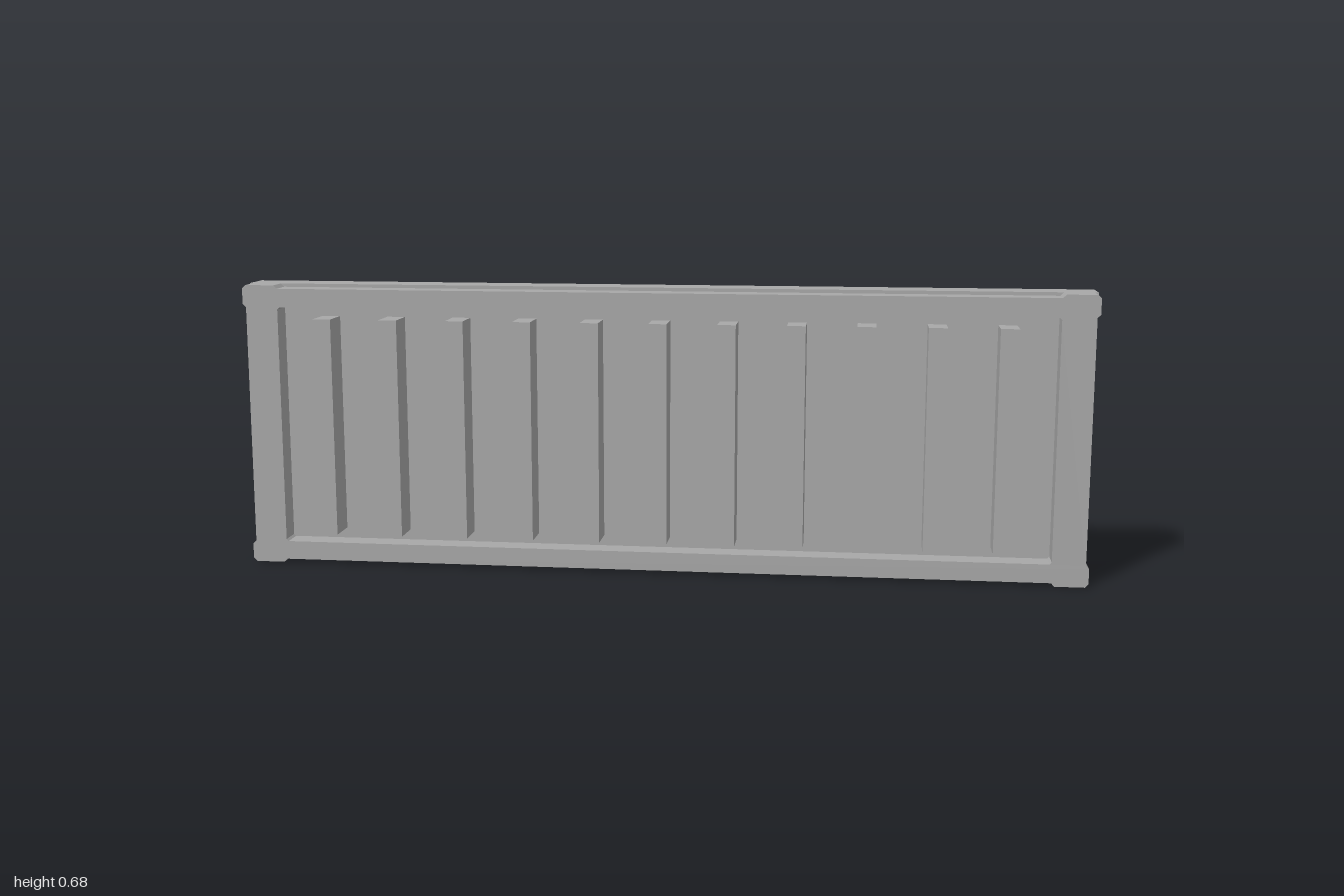
import * as THREE from 'three';

const W = 1, H = 0.677;          // half width, full height
const BACK = -0.077, MID = 0, RIM = 0.054, FRONT = 0.077;

export function createModel() {
  const group = new THREE.Group();
  group.name = 'slattedPanel';
  const grey = new THREE.MeshStandardMaterial({ color: 0xa8a8a8 });
  grey.name = 'grey';

  const add = (name, geometry, x, y, z) => {
    const mesh = new THREE.Mesh(geometry, grey);
    mesh.name = name;
    mesh.position.set(x, y, z);
    group.add(mesh);
  };

  // Solid back plate
  add('backPlate', new THREE.BoxGeometry(2 * W, H, MID - BACK), 0, H / 2, (MID + BACK) / 2);

  // Raised rim: chamfered corners and a shallow recess along each outer edge
  const hw = W, hh = H / 2, c = 0.008;
  const ix = 0.915, iy = 0.286;  // half size of the opening
  const quarter = [
    [hw - c, iy], [hw, iy + c], [hw, hh - c], [hw - c, hh], [ix + c, hh], [ix, hh - c],
  ];
  const flip = (sx, sy) => quarter.map(([x, y]) => new THREE.Vector2(x * sx, y * sy));
  const outline = [
    ...flip(1, 1), ...flip(-1, 1).reverse(), ...flip(-1, -1), ...flip(1, -1).reverse(),
  ];
  const rim = new THREE.Shape(outline);

  // Opening with lightly cut corners
  const k = 0.005;
  const corner = [[ix, iy - k], [ix - k, iy]];
  const cut = (sx, sy) => corner.map(([x, y]) => new THREE.Vector2(x * sx, y * sy));
  rim.holes.push(new THREE.Path([
    ...cut(1, 1), ...cut(-1, 1).reverse(), ...cut(-1, -1), ...cut(1, -1).reverse(),
  ]));
  add('rim', new THREE.ExtrudeGeometry(rim, { depth: RIM - MID, bevelEnabled: false }), 0, hh, MID);

  // Row of upright slats standing proud of the rim
  const slat = new THREE.BoxGeometry(0.043, 0.522, FRONT - MID);
  for (let i = -5; i <= 5; i++) {
    add(`slat${i + 6}`, slat, i * 0.16, 0.339, (FRONT + MID) / 2);
  }
  return group;
}
